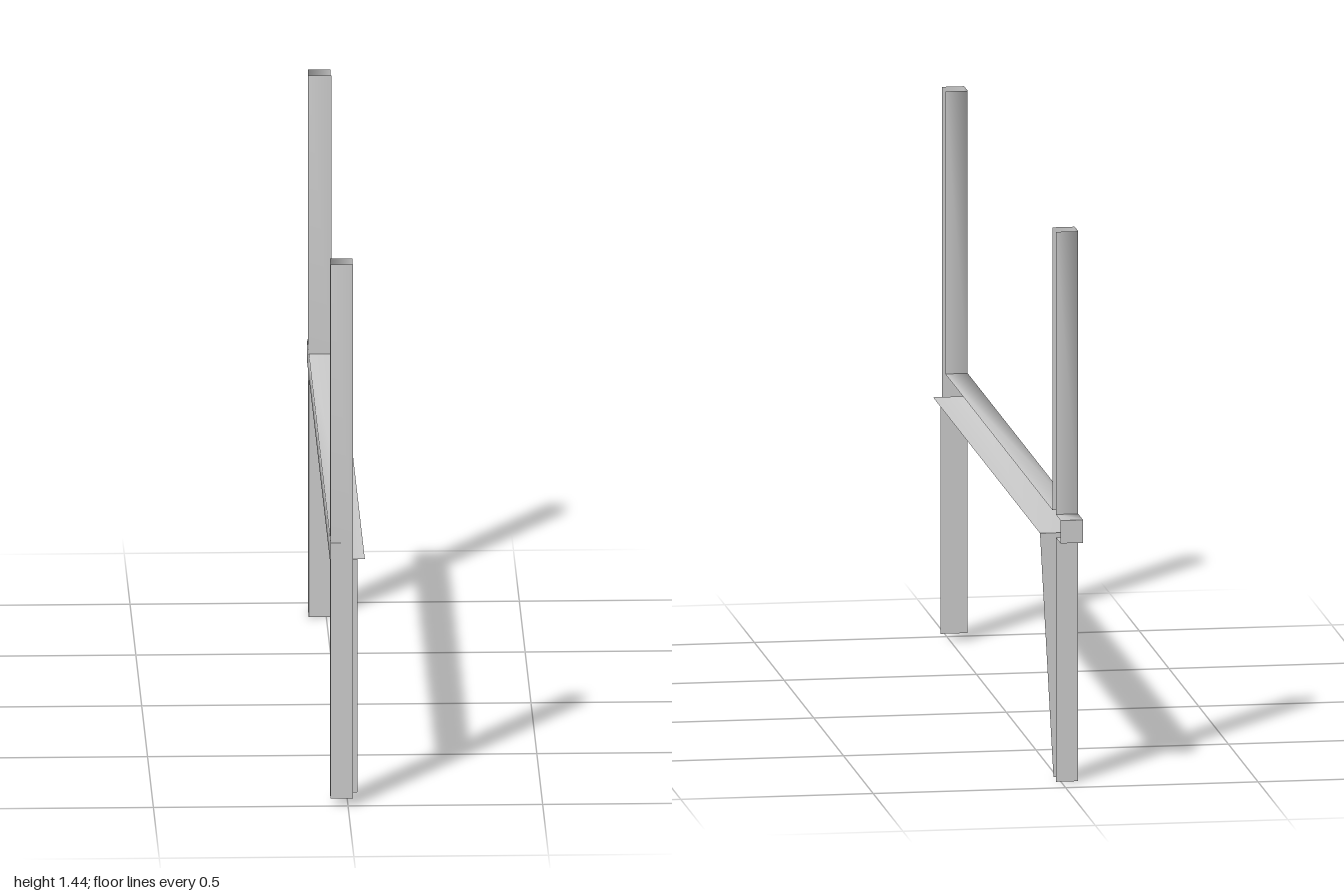
import * as THREE from 'three';

const WEB = -0.045, LIP = 0.013, LONG_LIP = 0.045; // x of the channel back and of its open edges
const TOP = 1.44, RAIL_LOW = 0.64, RAIL_HIGH = 0.7;
const FRONT = [1, 0.94], REAR = [-0.86, -0.92];    // z of the two flanges of each post

const material = new THREE.MeshStandardMaterial({ color: 0xcccccc, side: THREE.DoubleSide });

// Sheet lofted between two cross-sections; shared corners give softly rounded folds
function sheet(name, start, end, smooth = true) {
  const n = start.length, index = [];
  for (let i = 0; i < n - 1; i++) {
    index.push(i, n + i, n + i + 1, i, n + i + 1, i + 1);
  }
  let geometry = new THREE.BufferGeometry();
  geometry.setAttribute('position', new THREE.Float32BufferAttribute([...start, ...end].flat(), 3));
  geometry.setIndex(index);
  if (!smooth) geometry = geometry.toNonIndexed();
  geometry.computeVertexNormals();
  const mesh = new THREE.Mesh(geometry, material);
  mesh.name = name;
  return mesh;
}

// U section of a post, open towards +x
const postSection = (y, [z0, z1], lip0 = LIP, lip1 = LIP) =>
  [[lip0, y, z0], [WEB, y, z0], [WEB, y, z1], [lip1, y, z1]];

// U section of the rail, open towards +x
const railSection = (z, lowLip = LIP) =>
  [[lowLip, RAIL_LOW, z], [WEB, RAIL_LOW, z], [WEB, RAIL_HIGH, z], [LIP, RAIL_HIGH, z]];

export function createModel() {
  const group = new THREE.Group();
  group.name = 'channelFrame';

  // Upper halves of the posts
  for (const [name, z] of [['frontUpperPost', FRONT], ['rearUpperPost', REAR]]) {
    group.add(sheet(name, postSection(RAIL_HIGH, z), postSection(TOP, z)));
  }

  // Lower halves, with the widened flanges
  group.add(sheet('frontLowerPost',
    postSection(0.02, FRONT, LIP, 0.026), postSection(RAIL_LOW, FRONT, LIP, 0.026), false));
  group.add(sheet('rearLowerPost',
    postSection(0, REAR, 0.01, LIP), postSection(RAIL_LOW, REAR, LONG_LIP, LIP), false));

  // Crossing plates where the rail meets the posts; the front one keeps its outer flange
  group.add(sheet('frontJoint',
    postSection(RAIL_LOW, FRONT).slice(0, 3), postSection(RAIL_HIGH, FRONT).slice(0, 3), false));
  group.add(sheet('rearJoint',
    postSection(RAIL_LOW, REAR).slice(1, 3), postSection(RAIL_HIGH, REAR).slice(1, 3)));

  // Rail with a wide lower flange
  group.add(sheet('rail', railSection(REAR[0], LONG_LIP), railSection(FRONT[1], LONG_LIP)));

  // Short stub behind the rear post, closed at its end
  group.add(sheet('stub', railSection(-1), railSection(REAR[1])));
  group.add(sheet('stubEnd',
    [[WEB, RAIL_LOW, -1], [LIP, RAIL_LOW, -1]], [[WEB, RAIL_HIGH, -1], [LIP, RAIL_HIGH, -1]]));

  return group;
}
